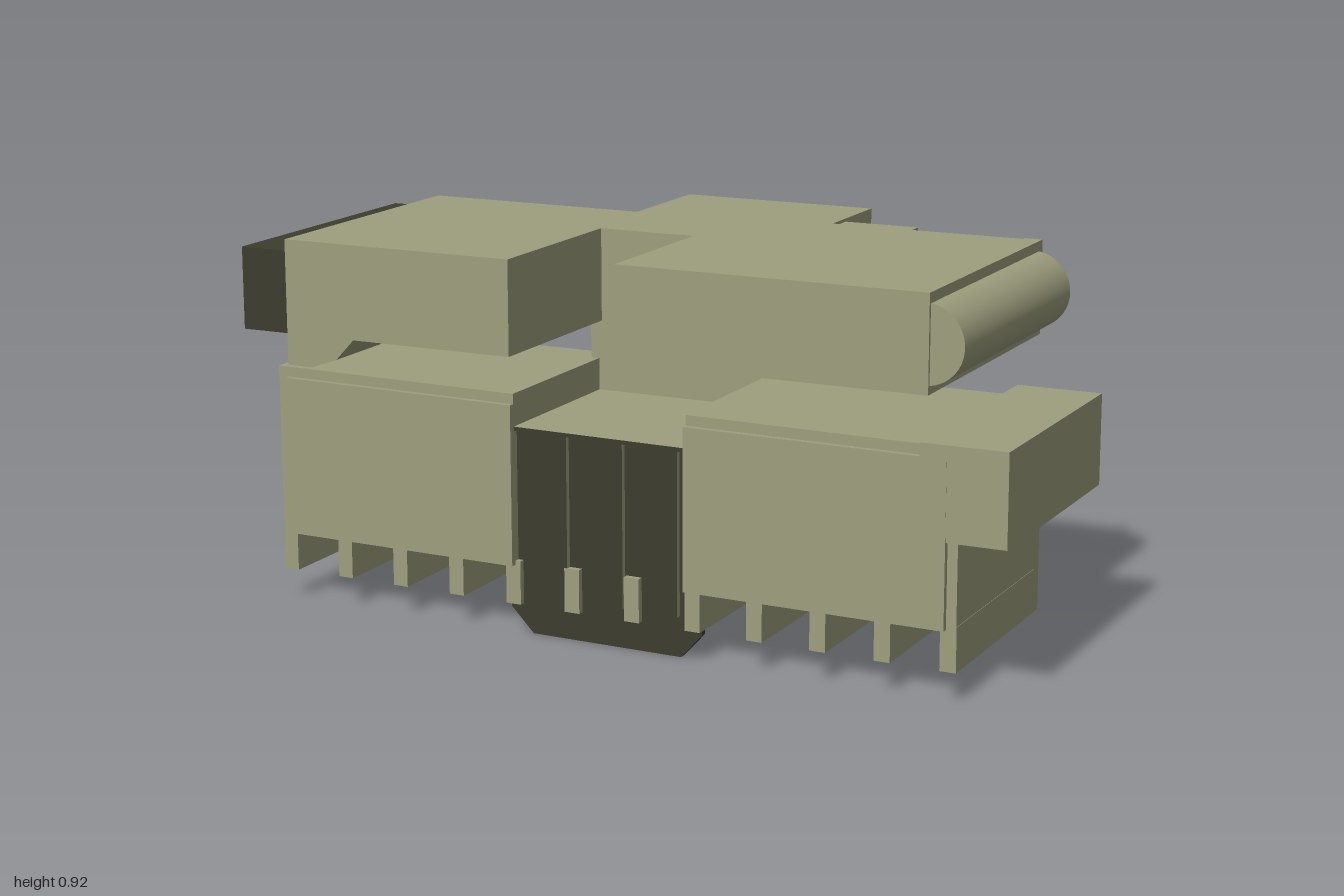
import * as THREE from 'three';

const olive = new THREE.MeshStandardMaterial({ color: 0x9e9e7e });
const dark = new THREE.MeshStandardMaterial({ color: 0x3c3c2e });

const rect = (x0, x1, y0, y1) => [[x0, y0], [x1, y0], [x1, y1], [x0, y1]];
const toShape = pts => new THREE.Shape(pts.map(p => new THREE.Vector2(p[0], p[1])));

export function createModel() {
  const root = new THREE.Group();

  function add(parent, geometry, material, name) {
    const m = new THREE.Mesh(geometry, material);
    m.name = name;
    parent.add(m);
    return m;
  }

  function group(name) {
    const g = new THREE.Group();
    g.name = name;
    root.add(g);
    return g;
  }

  function box(parent, name, x0, x1, y0, y1, z0, z1, material = olive) {
    const g = new THREE.BoxGeometry(x1 - x0, y1 - y0, z1 - z0);
    g.translate((x0 + x1) / 2, (y0 + y1) / 2, (z0 + z1) / 2);
    return add(parent, g, material, name);
  }

  function extrude(shape, z0, z1) {
    const g = new THREE.ExtrudeGeometry(shape, { depth: z1 - z0, bevelEnabled: false });
    return g.translate(0, 0, z0);
  }

  // Casing with a rimmed recess and a dark panel at its back
  function casing(name, outer, inner, z0, z1, skin = olive, recess = 0.035) {
    const g = group(name);
    const ring = toShape(outer);
    ring.holes.push(toShape(inner));
    add(g, extrude(ring, z0, z0 + recess), [olive, skin], 'rim');
    add(g, extrude(toShape(outer), z0 + recess, z1), skin, 'body');
    add(g, extrude(toShape(inner), z0 + recess - 0.003, z0 + recess + 0.003), dark, 'backPanel');
  }

  const duct = (name, x0, x1, y0, y1, z0, z1, t = 0.03, skin = olive) =>
    casing(name, rect(x0, x1, y0, y1), rect(x0 + t, x1 - t, y0 + t, y1 - t), z0, z1, skin);

  // Front surfaces lean forward slightly towards +x
  function slant(object) {
    object.traverse(o => {
      if (!o.isMesh) return;
      const p = o.geometry.attributes.position;
      for (let i = 0; i < p.count; i++) {
        if (p.getZ(i) > 0.4) p.setZ(i, p.getZ(i) + 0.03 * p.getX(i));
      }
      o.geometry.computeVertexNormals();
    });
  }

  // Rows of slots on an underside
  function slots(name, x0, x1, z0, z1, y, nx, nz) {
    const g = group(name);
    const dx = (x1 - x0) / nx, dz = (z1 - z0) / nz;
    for (let i = 0; i < nx; i++) for (let j = 0; j < nz; j++) {
      const x = x0 + i * dx, z = z0 + j * dz;
      box(g, 'slot', x + dx * 0.1, x + dx * 0.9, y - 0.001, y + 0.005, z + dz * 0.3, z + dz * 0.7, dark);
    }
  }

  // Lower housing: rimmed back plate, two tall blocks and a lower middle
  duct('lowerBackPlate', -0.93, 0.88, 0.072, 0.59, -0.033, 0.012);
  const lower = group('lowerHousing');
  box(lower, 'rightBlock', -0.93, -0.26, 0.17, 0.59, 0, 0.482);
  box(lower, 'leftBlock', 0.2, 0.88, 0.17, 0.59, 0, 0.482);
  box(lower, 'middleBlock', -0.27, 0.21, 0.17, 0.5, 0, 0.44);
  box(lower, 'middleTop', -0.26, 0.2, 0.5, 0.51, 0, 0.48, [olive, olive, olive, olive, dark, olive]);

  // Raised front panels
  box(lower, 'rightPanel', -0.9, -0.26, 0.17, 0.565, 0.45, 0.497);
  box(lower, 'leftPanel', 0.2, 0.855, 0.17, 0.565, 0.45, 0.497);

  // Plates hanging below the lower housing
  for (let i = 0; i < 12; i++) {
    const x = -0.93 + i * 0.161;
    box(lower, 'hangingPlate', x, x + 0.04, 0.072, 0.18, 0, 0.482);
  }

  // Central dark flap with chamfered lower corners, and its ribs
  const flap = toShape([[-0.28, 0.06], [-0.22, 0], [0.18, 0], [0.235, 0.06], [0.235, 0.17], [0.2, 0.17],
    [0.2, 0.505], [-0.26, 0.505], [-0.26, 0.17], [-0.28, 0.17]]);
  add(lower, extrude(flap, 0.45, 0.466), dark, 'centreFlap');
  for (const x of [-0.13, 0.02, 0.165]) {
    box(lower, 'rib', x - 0.012, x + 0.012, 0.1, 0.505, 0.45, 0.48, [olive, olive, olive, olive, dark, olive]);
  }
  slant(lower);

  // Central trunk
  duct('centralTrunk', -0.282, 0.235, 0.295, 0.918, -0.524, 0.035);
  slots('trunkGrille', -0.25, 0.205, -0.48, -0.05, 0.295, 5, 6);

  // Upper housing on the right, with a drooping lip
  casing('upperRightHousing',
    [[-0.868, 0.608], [-0.8, 0.608], [-0.73, 0.633], [-0.68, 0.686], [-0.252, 0.686], [-0.252, 0.918], [-0.868, 0.918]],
    [[-0.838, 0.638], [-0.8, 0.638], [-0.745, 0.66], [-0.695, 0.713], [-0.28, 0.713], [-0.28, 0.888], [-0.838, 0.888]],
    -0.22, 0.505);
  slots('lipGrille', -0.865, -0.8, -0.15, 0.45, 0.608, 1, 10);

  // Dark end duct with a small catch
  duct('endDuct', -0.993, -0.86, 0.686, 0.89, -0.21, 0.503, 0.022, dark);
  box(root, 'endCatch', -1, -0.98, 0.7, 0.76, -0.14, -0.08, dark);

  // Upper housing on the left
  duct('upperLeftHousing', 0, 0.78, 0.686, 0.918, -0.275, 0.45);
  slots('upperLeftGrille', 0.28, 0.74, -0.2, 0.15, 0.686, 5, 6);
  box(root, 'backFlange', 0.735, 0.78, 0.686, 0.918, -0.288, -0.24);
  duct('smallBackDuct', 0.235, 0.43, 0.775, 0.91, -0.357, -0.24, 0.022);

  // Half-round side roll
  const roll = new THREE.CylinderGeometry(0.094, 0.094, 0.705, 32, 1, false, 0, Math.PI);
  roll.rotateX(Math.PI / 2);
  roll.translate(0.768, 0.8, 0.09);
  add(root, roll, [olive, olive, dark], 'sideRoll');

  // Side duct
  duct('sideDuct', 0.79, 1, 0.375, 0.597, -0.108, 0.522, 0.025);

  return root;
}
